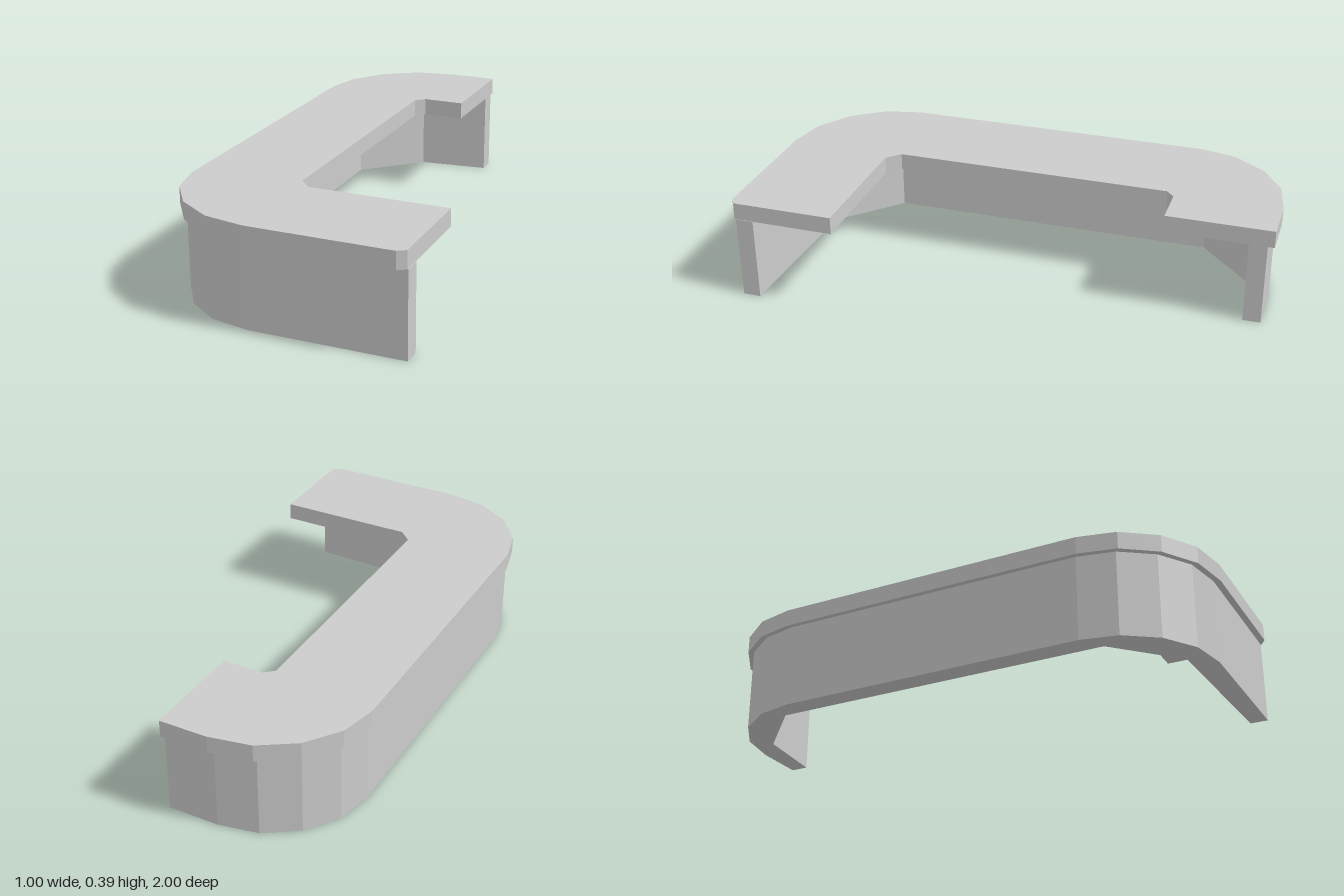
import * as THREE from 'three';

// Extrudes a plan outline of [x, z] points upward from height y
function slab(name, outline, y, height) {
  const shape = new THREE.Shape(outline.map(([x, z]) => new THREE.Vector2(x, -z)));
  const geometry = new THREE.ExtrudeGeometry(shape, { depth: height, bevelEnabled: false });
  geometry.rotateX(-Math.PI / 2);
  const mesh = new THREE.Mesh(
    geometry,
    new THREE.MeshStandardMaterial({ color: 0xcccccc, flatShading: true })
  );
  mesh.name = name;
  mesh.position.y = y;
  return mesh;
}

// Rounded outer side shared by both ends: back corner, then its mirror at the front
function outerSide(corner) {
  return [...corner.map(([x, z]) => [x, -z]), ...corner.slice().reverse()];
}

export function createModel() {
  const group = new THREE.Group();
  group.name = 'counter';

  // Overhanging countertop with a long front arm and a short back arm
  const topCorner = [[-0.08, 1], [-0.24, 0.97], [-0.375, 0.883], [-0.467, 0.755], [-0.5, 0.61]];
  group.add(slab('countertop', [
    [0.107, -1], ...outerSide(topCorner),
    [0.465, 1], [0.496, 0.98], [0.496, 0.585],
    [-0.04, 0.585], [-0.09, 0.535], [-0.09, -0.555], [-0.055, -0.587], [0.107, -0.587],
  ], 0.327, 0.067));

  // Thin supporting wall: faceted outside, single chamfer per corner inside
  const wallCorner = [[-0.09, 0.975], [-0.24, 0.946], [-0.365, 0.863], [-0.45, 0.74], [-0.48, 0.6]];
  group.add(slab('counterWall', [
    [0.107, -0.975], ...outerSide(wallCorner),
    [0.498, 0.975], [0.498, 0.906],
    [-0.165, 0.88], [-0.395, 0.66], [-0.395, -0.665], [-0.175, -0.877], [0.107, -0.906],
  ], 0, 0.327));

  return group;
}
